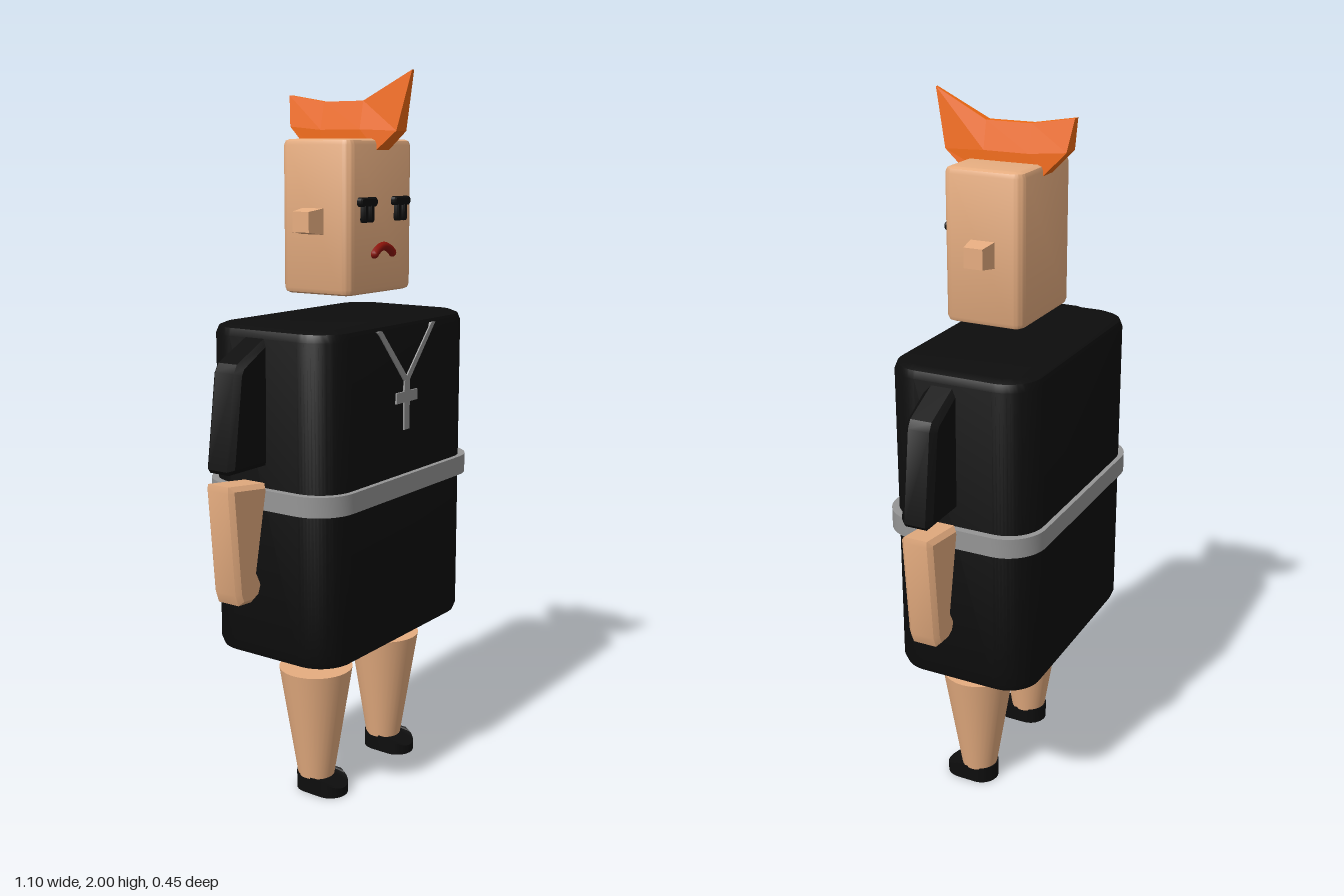
import * as THREE from 'three';
import { toCreasedNormals, mergeGeometries } from 'three/addons/utils/BufferGeometryUtils.js';

const paint = (color, extra = {}) => new THREE.MeshStandardMaterial({ color, ...extra });
const skin = paint(0xe6ad80);
const black = paint(0x0d0d0d);
const metal = paint(0x959595);
const orange = paint(0xf06a12, { flatShading: true });
const red = paint(0x8c140a);

// Rounded rectangle outline centred on the origin
function roundedRect(w, h, r, Type = THREE.Shape) {
  const s = new Type();
  const x = w / 2 - r, y = h / 2 - r;
  s.absarc(x, y, r, 0, Math.PI / 2);
  s.absarc(-x, y, r, Math.PI / 2, Math.PI);
  s.absarc(-x, -y, r, Math.PI, Math.PI * 1.5);
  s.absarc(x, -y, r, Math.PI * 1.5, Math.PI * 2);
  s.closePath();
  return s;
}

// Extrusion centred on z whose outer size includes the bevel
function slab(shape, depth, bevel = 0, segments = 1) {
  const g = new THREE.ExtrudeGeometry(shape, {
    depth: depth - 2 * bevel, bevelEnabled: bevel > 0, bevelSize: bevel,
    bevelThickness: bevel, bevelOffset: -bevel, bevelSegments: segments, curveSegments: 8,
  });
  g.translate(0, 0, bevel - depth / 2);
  return toCreasedNormals(g, 0.5);
}

// Upright block with rounded vertical corners
const block = (w, h, d, r, bevel) =>
  slab(roundedRect(w, d, r), h, bevel, 2).rotateX(-Math.PI / 2);

const polygon = (pts, side = 1) =>
  new THREE.Shape(pts.map(([x, y]) => new THREE.Vector2(x * side, y)));

// Crest lofted from front to back; each station holds base, middle and top as [z, y, halfWidth]
function crestGeometry() {
  const stations = [
    [[0.125, 1.795, 0.03], [0.185, 1.845, 0.024], [0.22, 2.0, 0.005]],
    [[0.07, 1.795, 0.03], [0.07, 1.85, 0.028], [0.07, 1.925, 0.011]],
    [[-0.06, 1.795, 0.03], [-0.06, 1.85, 0.028], [-0.06, 1.925, 0.011]],
    [[-0.1, 1.795, 0.03], [-0.165, 1.86, 0.027], [-0.18, 1.945, 0.01]],
  ];
  const pos = [], idx = [];
  const quad = (a, b, c, d) => idx.push(a, b, c, a, c, d);
  for (const s of stations) {
    for (const [z, y, w] of s) pos.push(-w, y, z);
    for (const [z, y, w] of [...s].reverse()) pos.push(w, y, z);
  }
  for (let k = 0; k < stations.length - 1; k++) {
    for (let i = 0; i < 6; i++) {
      const j = (i + 1) % 6, a = k * 6, b = a + 6;
      quad(a + i, a + j, b + j, b + i);
    }
  }
  const e = (stations.length - 1) * 6;
  quad(0, 5, 4, 1);
  quad(1, 4, 3, 2);
  quad(e, e + 1, e + 4, e + 5);
  quad(e + 1, e + 2, e + 3, e + 4);
  const g = new THREE.BufferGeometry();
  g.setAttribute('position', new THREE.Float32BufferAttribute(pos, 3));
  g.setIndex(idx);
  const flat = g.toNonIndexed();
  flat.computeVertexNormals();
  return flat;
}

export function createModel() {
  const model = new THREE.Group();
  model.name = 'figure';
  const add = (parent, name, geometry, material, x = 0, y = 0, z = 0) => {
    const mesh = new THREE.Mesh(geometry, material);
    mesh.name = name;
    mesh.position.set(x, y, z);
    parent.add(mesh);
    return mesh;
  };

  // Head with crest and face
  const head = new THREE.Group();
  head.name = 'head';
  model.add(head);
  add(head, 'skull', block(0.312, 0.41, 0.228, 0.03, 0.016), skin, 0, 1.62, 0.012);
  add(head, 'crest', crestGeometry(), orange);
  const mouthCurve = new THREE.QuadraticBezierCurve3(
    new THREE.Vector3(-0.043, 1.522, 0), new THREE.Vector3(0, 1.56, 0), new THREE.Vector3(0.043, 1.522, 0));
  add(head, 'mouth', new THREE.TubeGeometry(mouthCurve, 16, 0.012, 8), red, 0, 0, 0.13);
  for (const side of [1, -1]) {
    const end = mouthCurve.getPoint(side > 0 ? 1 : 0);
    add(head, 'mouthCorner', new THREE.SphereGeometry(0.012, 10, 8), red, end.x, end.y, 0.13);

    // Ear tapers outwards
    const ear = new THREE.CylinderGeometry(0.027 * Math.SQRT2, 0.036 * Math.SQRT2, 0.065, 4, 1);
    ear.rotateY(Math.PI / 4).rotateZ(-side * Math.PI / 2);
    add(head, 'ear', toCreasedNormals(ear, 0.3), skin, side * 0.178, 1.61, 0.009);

    // Eye: a lid bar with two short strokes below
    const eye = new THREE.Group();
    eye.name = 'eye';
    eye.position.set(side * 0.08, 0, 0.13);
    head.add(eye);
    add(eye, 'lid', slab(roundedRect(0.078, 0.024, 0.01), 0.024, 0.004), black, 0, 1.661);
    for (const s of [-1, 1]) {
      add(eye, 'stroke', slab(roundedRect(0.02, 0.06, 0.007), 0.022, 0.004), black, s * 0.014, 1.637);
    }
  }

  // Torso and belt
  const body = new THREE.Group();
  body.name = 'body';
  body.position.x = -0.006;
  model.add(body);
  add(body, 'torso', block(0.714, 0.912, 0.424, 0.1, 0.028), black, 0, 0.889, -0.001);
  const beltShape = roundedRect(0.757, 0.452, 0.11);
  beltShape.holes.push(roundedRect(0.7, 0.41, 0.09, THREE.Path));
  add(body, 'belt', slab(beltShape, 0.055).rotateX(-Math.PI / 2), metal, 0, 0.893, 0);

  // Necklace and cross pendant
  const chain = [[-0.142, 1.328], [-0.122, 1.328], [0, 1.194], [0.122, 1.328], [0.142, 1.328], [0.01, 1.178], [-0.01, 1.178]];
  add(body, 'necklace', slab(polygon(chain), 0.03), metal, 0, 0, 0.2);
  const cross = mergeGeometries([
    new THREE.BoxGeometry(0.026, 0.137, 0.02).translate(0, 1.114, 0),
    new THREE.BoxGeometry(0.104, 0.03, 0.02).translate(0, 1.137, 0),
  ]);
  add(body, 'pendant', cross, metal, 0, 0, 0.206);

  // Arms: sleeve and forearm with a small hand
  const sleeve = [[0.398, 1.325], [0.398, 0.995], [0.544, 0.995], [0.552, 1.005], [0.518, 1.25], [0.505, 1.272]];
  const forearm = [[0.55, 0.967], [0.407, 0.95], [0.405, 0.93], [0.448, 0.72], [0.43, 0.685],
    [0.442, 0.655], [0.468, 0.642], [0.518, 0.645], [0.529, 0.675], [0.552, 0.95]];
  // Shoe outlines: sole plan, with the toe lowered afterwards
  const sole = new THREE.Shape();
  sole.absarc(0, -0.022, 0.05, 0, Math.PI);
  sole.absarc(0, -0.079, 0.05, Math.PI, Math.PI * 2);
  sole.closePath();

  for (const side of [1, -1]) {
    const arm = new THREE.Group();
    arm.name = side > 0 ? 'leftArm' : 'rightArm';
    arm.position.z = 0.007;
    body.add(arm);
    add(arm, 'sleeve', slab(polygon(sleeve, side), 0.09, 0.015), black);
    add(arm, 'forearm', slab(polygon(forearm, side), 0.09, 0.012), skin);

    const leg = new THREE.Group();
    leg.name = side > 0 ? 'leftLeg' : 'rightLeg';
    leg.position.x = side * 0.172;
    body.add(leg);
    add(leg, 'calf', new THREE.CylinderGeometry(0.104, 0.052, 0.325, 32), skin, 0, 0.2075, 0.029);

    const shoe = new THREE.ExtrudeGeometry(sole, { depth: 0.05, bevelEnabled: false, curveSegments: 12 });
    shoe.rotateX(-Math.PI / 2);
    const p = shoe.attributes.position;
    for (let i = 0; i < p.count; i++) {
      if (p.getY(i) > 0.04) p.setY(i, 0.05 - 0.5 * Math.max(0, p.getZ(i) - 0.079));
    }
    add(leg, 'shoe', toCreasedNormals(shoe, 0.6), black);
  }
  return model;
}
